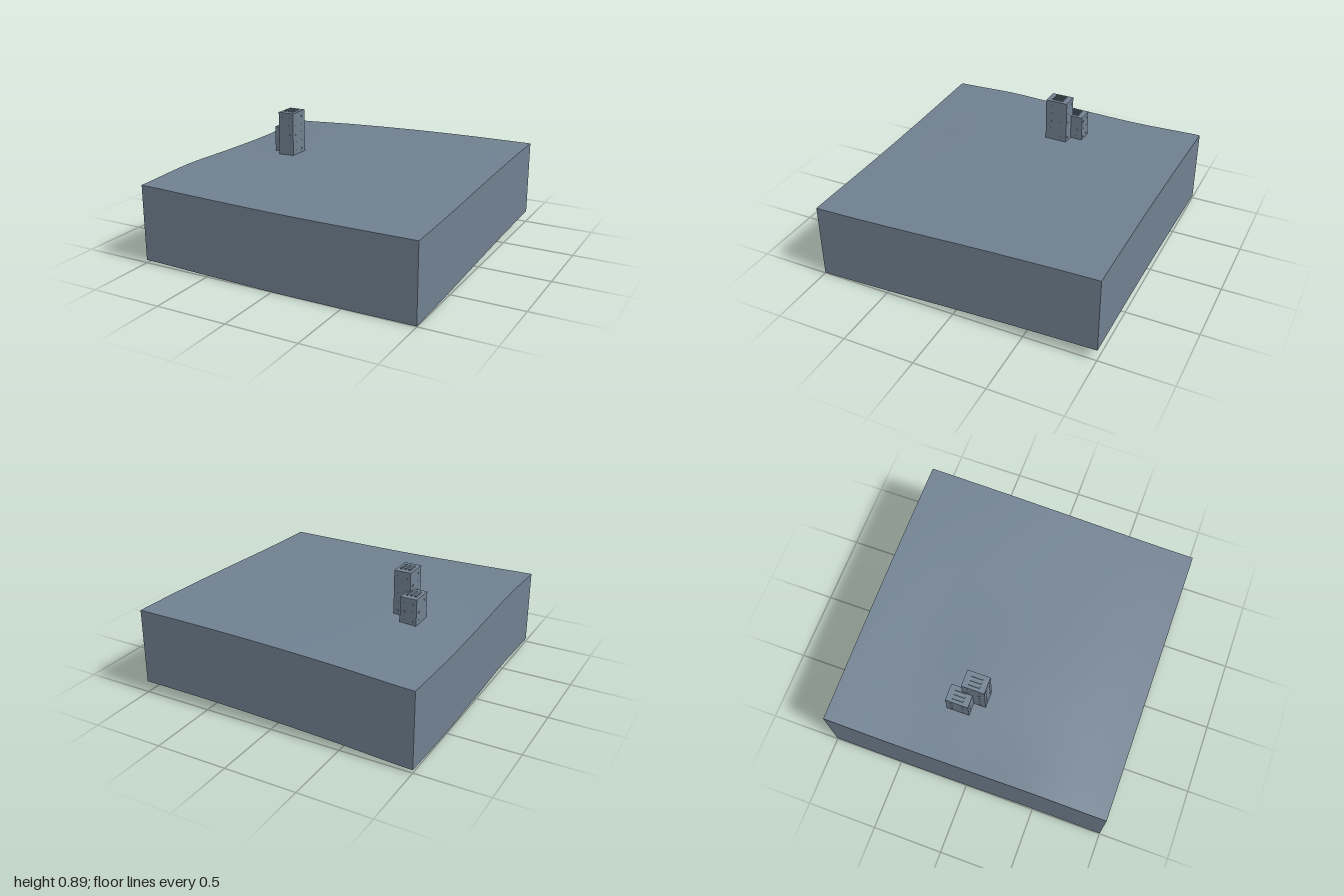
import * as THREE from 'three';

const slate = new THREE.MeshStandardMaterial({ color: 0x708090, side: THREE.DoubleSide });
slate.name = 'slate';

// Heights of the four ground edges, evenly spaced from -1 to 1
const profile = (heights) => {
  const curve = new THREE.SplineCurve(heights.map((h, i) => new THREE.Vector2(i, h)));
  return (s) => curve.getPoint(THREE.MathUtils.clamp((s + 1) / 2, 0, 1)).y;
};
const front = profile([0.554, 0.543, 0.534, 0.533, 0.536]);
const back = profile([0.553, 0.58, 0.6, 0.611, 0.614]);
const rightEdge = profile([0.553, 0.541, 0.551, 0.568, 0.554]);
const leftEdge = profile([0.614, 0.6, 0.578, 0.553, 0.536]);
const SKIRT = 0.532;

// Ground height: surface blended between the edges, with a low rise below the towers
function groundHeight(x, z) {
  const { lerp } = THREE.MathUtils;
  const u = (x + 1) / 2, v = (z + 1) / 2;
  const corners = lerp(lerp(back(-1), back(1), u), lerp(front(-1), front(1), u), v);
  const rise = 0.02 * Math.exp(-4 * ((x + 0.45) ** 2 + z * z)) * (1 - x * x) * (1 - z * z);
  return lerp(back(x), front(x), v) + lerp(rightEdge(z), leftEdge(z), u) - corners + rise;
}

function addMesh(parent, name, geometry) {
  const mesh = new THREE.Mesh(geometry, slate);
  mesh.name = name;
  parent.add(mesh);
  return mesh;
}

function box(parent, name, size, position) {
  addMesh(parent, name, new THREE.BoxGeometry(...size)).position.set(...position);
}

// Rolling ground surface
function addGround(parent) {
  const geometry = new THREE.PlaneGeometry(2, 2, 40, 40).rotateX(-Math.PI / 2);
  const p = geometry.attributes.position;
  for (let i = 0; i < p.count; i++) p.setY(i, groundHeight(p.getX(i), p.getZ(i)));
  geometry.computeVertexNormals();
  addMesh(parent, 'ground', geometry);
}

// Skirt wall whose top and bottom both follow the ground edge
function addSkirt(parent, name, turn) {
  const geometry = new THREE.PlaneGeometry(2, 1, 40, 1).translate(0, 0, 1).rotateY(turn);
  const p = geometry.attributes.position;
  for (let i = 0; i < p.count; i++) {
    const h = groundHeight(p.getX(i), p.getZ(i));
    p.setY(i, p.getY(i) > 0 ? h : h - SKIRT);
  }
  addMesh(parent, name, geometry);
}

// Block tower with roof vents and small wall windows
function addTower(parent, name, x, z, width, depth, top, rows) {
  const tower = new THREE.Group();
  tower.name = name;
  tower.position.set(x, 0, z);
  parent.add(tower);

  const base = 0.555;
  box(tower, 'towerBody', [width, top - base, depth], [0, (top + base) / 2, 0]);
  for (const i of [-1, 0, 1]) {
    box(tower, 'roofVent', [0.012, 0.008, depth * 0.5], [i * 0.03, top + 0.004, 0]);
  }
  for (let r = 0; r < rows; r++) {
    const y = top - 0.04 - r * 0.06;
    for (const side of [-1, 1]) {
      for (const i of [-1, 1]) {
        box(tower, 'sideWindow', [0.003, 0.012, 0.012], [side * width / 2, y, i * depth * 0.25]);
        box(tower, 'faceWindow', [0.012, 0.012, 0.003], [i * width * 0.25, y, side * depth / 2]);
      }
    }
  }
}

export function createModel() {
  const model = new THREE.Group();
  model.name = 'terrainBlock';
  addGround(model);
  ['frontSkirt', 'leftSkirt', 'backSkirt', 'rightSkirt'].forEach((name, i) => {
    addSkirt(model, name, i * Math.PI / 2);
  });
  addTower(model, 'tallTower', -0.5, -0.08, 0.118, 0.16, 0.885, 5);
  addTower(model, 'shortTower', -0.588, -0.166, 0.118, 0.16, 0.749, 3);
  return model;
}
